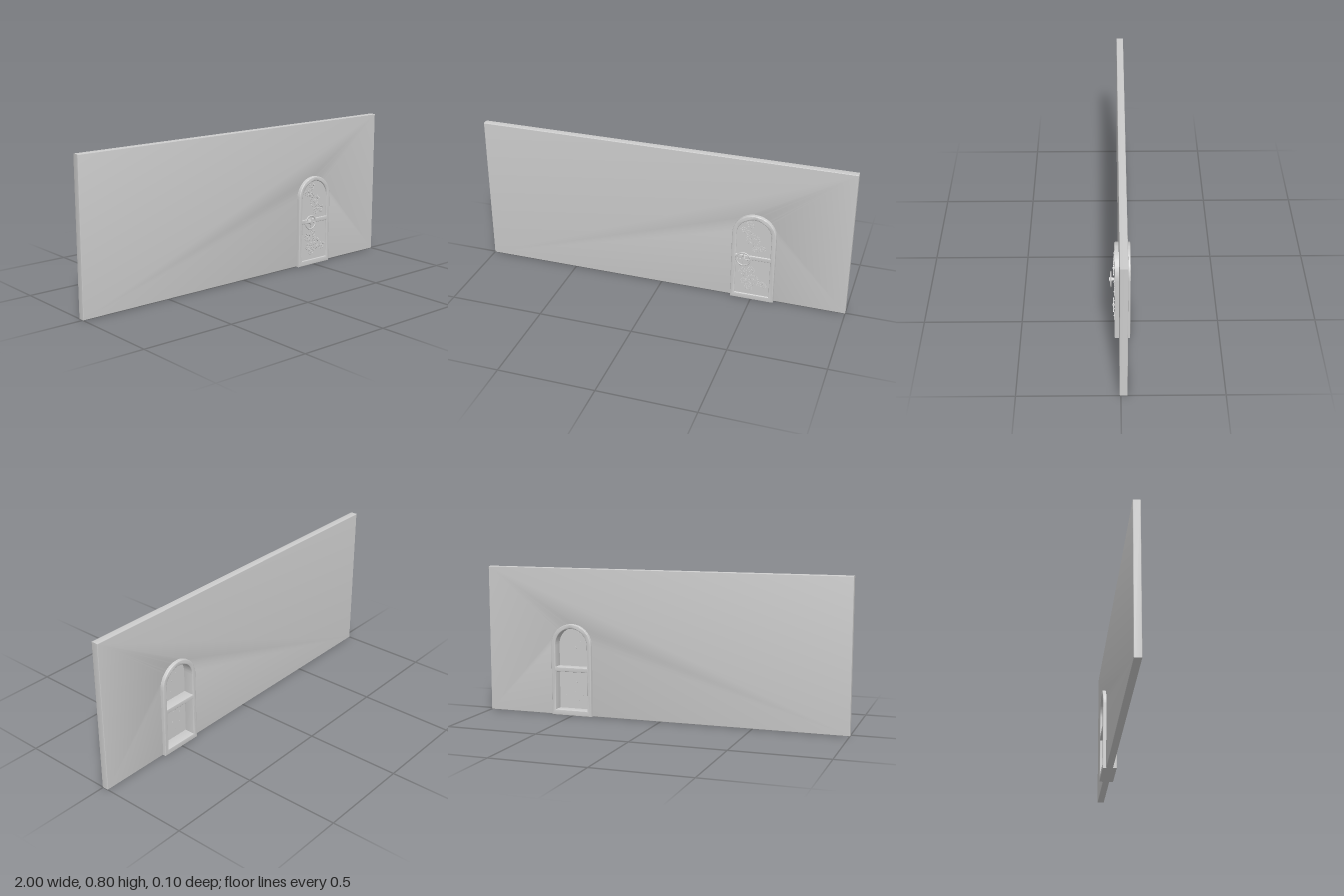
import * as THREE from 'three';
import { toCreasedNormals } from 'three/addons/utils/BufferGeometryUtils.js';

const material = new THREE.MeshStandardMaterial({ color: 0xcccccc });
const DOOR_X = 0.504;

function addMesh(parent, name, geometry, x = 0, y = 0, z = 0) {
  const mesh = new THREE.Mesh(geometry, material);
  mesh.name = name;
  mesh.position.set(x, y, z);
  parent.add(mesh);
  return mesh;
}

// Solid between two z planes, with bevels that stay inside the outline
function slab(shape, back, front, bevel) {
  const geometry = new THREE.ExtrudeGeometry(shape, {
    depth: front - back - 2 * bevel,
    bevelEnabled: bevel > 0,
    bevelThickness: bevel,
    bevelSize: bevel,
    bevelOffset: -bevel,
    bevelSegments: 3,
    curveSegments: 24,
  });
  geometry.translate(0, 0, back + bevel);
  return toCreasedNormals(geometry, 0.6);
}

// Round-headed outline centred on x = 0
function arch(path, half, bottom, top) {
  path.moveTo(-half, bottom);
  path.lineTo(half, bottom);
  path.lineTo(half, top - half);
  path.absarc(0, top - half, half, 0, Math.PI, false);
  path.closePath();
  return path;
}

function rectangle(half, bottom, top) {
  return new THREE.Path([[-half, bottom], [half, bottom], [half, top], [-half, top]]
    .map(([x, y]) => new THREE.Vector2(x, y)));
}

function gearShape(radius, teeth) {
  const points = [];
  const step = (Math.PI * 2) / teeth;
  for (let i = 0; i < teeth; i++) {
    for (const [offset, scale] of [[0, 0.8], [0.42, 0.8], [0.55, 1], [0.87, 1]]) {
      const a = (i + offset) * step;
      points.push(new THREE.Vector2(Math.cos(a) * radius * scale, Math.sin(a) * radius * scale));
    }
  }
  const shape = new THREE.Shape(points);
  // Openings between four spokes
  for (let i = 0; i < 4; i++) {
    const a = (i * Math.PI) / 2 + 0.25;
    const b = a + Math.PI / 2 - 0.5;
    const hole = new THREE.Path();
    hole.absarc(0, 0, radius * 0.56, a, b, false);
    hole.absarc(0, 0, radius * 0.32, b, a, true);
    hole.closePath();
    shape.holes.push(hole);
  }
  return shape;
}

function rod(radius, length, segments = 20) {
  return new THREE.CylinderGeometry(radius, radius, length, segments).rotateX(Math.PI / 2);
}

function createWall() {
  const r = 0.108, top = 0.49;
  const shape = new THREE.Shape();
  shape.moveTo(-1, 0);
  shape.lineTo(DOOR_X - r, 0);
  shape.lineTo(DOOR_X - r, top - r);
  shape.absarc(DOOR_X, top - r, r, Math.PI, 0, true);
  shape.lineTo(DOOR_X + r, 0);
  shape.lineTo(1, 0);
  shape.lineTo(1, 0.8);
  shape.lineTo(-1, 0.8);
  shape.closePath();
  return slab(shape, -0.032, 0.006, 0.003);
}

function createDoor() {
  const door = new THREE.Group();
  door.name = 'door';
  door.position.x = DOOR_X;

  // Deep surround with an arched upper and a square lower opening
  const surround = arch(new THREE.Shape(), 0.116, 0, 0.5);
  const upper = new THREE.Path();
  arch(upper, 0.092, 0.265, 0.476);
  surround.holes.push(upper, rectangle(0.092, 0.03, 0.24));
  addMesh(door, 'doorFrame', slab(surround, -0.051, 0.0275, 0.004));

  // Thin plate closing the openings near the front
  addMesh(door, 'doorPanel', slab(arch(new THREE.Shape(), 0.1, 0.015, 0.484), 0.006, 0.021, 0));

  // Gears: x, y, radius, teeth, front z
  const gears = [
    [-0.022, 0.446, 0.021, 12, 0.028], [-0.054, 0.412, 0.018, 10, 0.027],
    [-0.002, 0.366, 0.037, 18, 0.034], [-0.03, 0.401, 0.016, 10, 0.031],
    [0.046, 0.315, 0.021, 12, 0.03], [0.012, 0.306, 0.02, 12, 0.027],
    [-0.05, 0.163, 0.024, 14, 0.03], [-0.008, 0.178, 0.022, 12, 0.027],
    [0.003, 0.122, 0.036, 18, 0.034], [-0.046, 0.105, 0.019, 10, 0.028],
    [0.058, 0.1, 0.021, 12, 0.03], [-0.018, 0.075, 0.022, 12, 0.028],
  ];
  const train = new THREE.Group();
  train.name = 'gearTrain';
  door.add(train);
  for (const [x, y, radius, teeth, z] of gears) {
    addMesh(train, 'gear', slab(gearShape(radius, teeth), z - 0.005, z, 0), x, y);
    const back = 0.004, front = z + 0.003;
    addMesh(train, 'gearAxle', rod(radius * 0.16, front - back, 12), x, y, (front + back) / 2);
  }

  // Hand wheel on its spindle
  const wheel = new THREE.Group();
  wheel.name = 'handWheel';
  wheel.position.set(-0.047, 0.251, 0.045);
  door.add(wheel);
  addMesh(wheel, 'wheelRim', new THREE.TorusGeometry(0.037, 0.004, 10, 48)).scale.z = 0.8;
  addMesh(wheel, 'wheelHub', rod(0.011, 0.016), 0, 0, 0);
  addMesh(wheel, 'wheelSpindle', rod(0.008, 0.034), 0, 0, -0.01);
  for (let i = 0; i < 2; i++) {
    const spoke = addMesh(wheel, 'wheelSpoke', new THREE.CylinderGeometry(0.0028, 0.0028, 0.074, 10));
    spoke.rotation.z = (i * Math.PI) / 2;
  }
  return door;
}

export function createModel() {
  const model = new THREE.Group();
  model.name = 'wallWithGearDoor';
  addMesh(model, 'wall', createWall());
  model.add(createDoor());
  return model;
}
